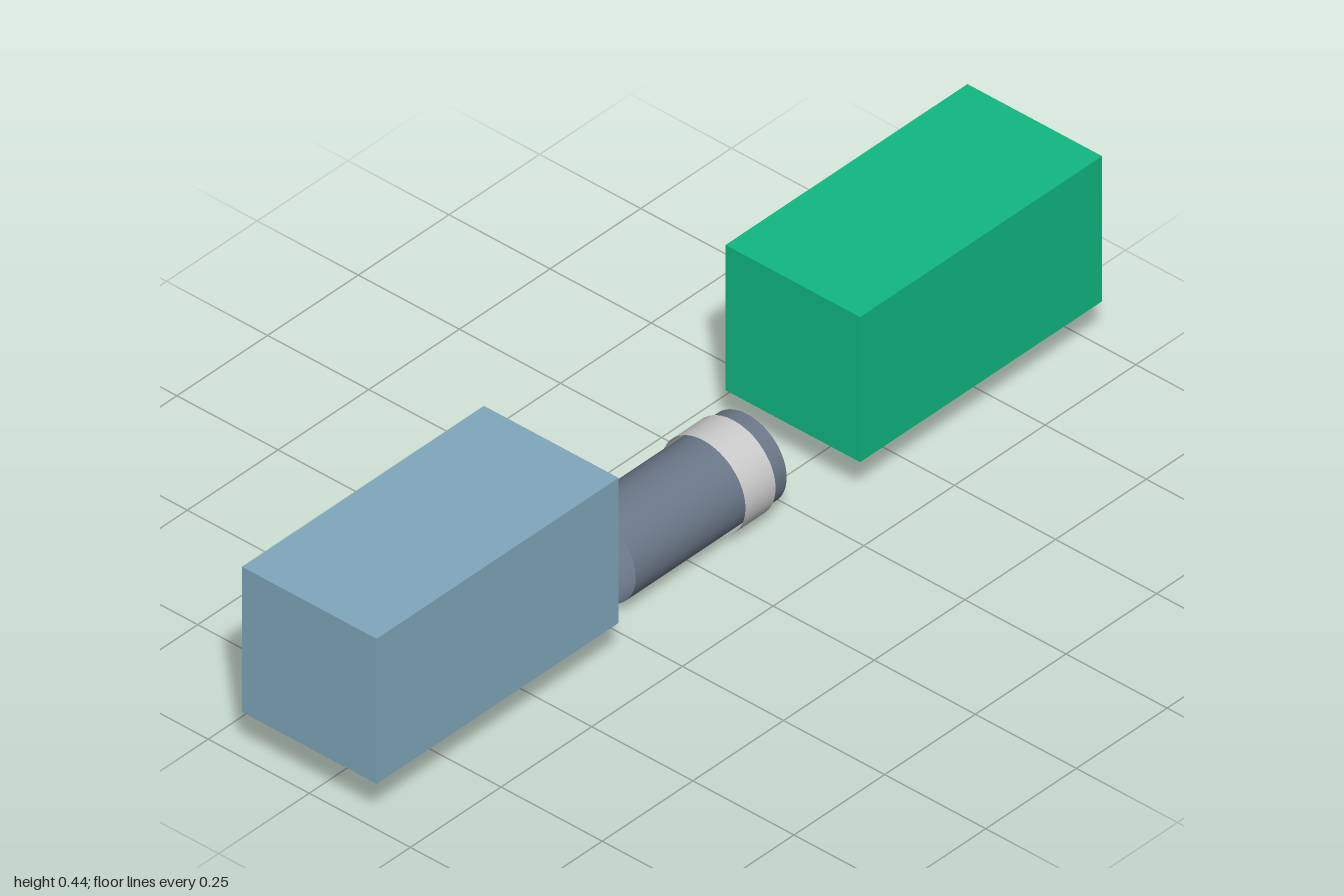
import * as THREE from 'three';

const CENTER_Y = 0.104; // axis height of the tube

function material(color, side = THREE.FrontSide) {
  return new THREE.MeshStandardMaterial({ color, side });
}

// Rectangular block resting level with the tube axis
function block(name, x, color) {
  const mesh = new THREE.Mesh(new THREE.BoxGeometry(0.667, 0.333, 0.333), material(color));
  mesh.name = name;
  mesh.position.set(x, CENTER_Y + 0.1665, 0);
  return mesh;
}

// Open-ended sleeve lying along x
function sleeve(name, radius, length, x, color) {
  const geometry = new THREE.CylinderGeometry(radius, radius, length, 64, 1, true);
  geometry.rotateZ(-Math.PI / 2);
  const mesh = new THREE.Mesh(geometry, material(color, THREE.DoubleSide));
  mesh.name = name;
  mesh.position.set(x, CENTER_Y, 0);
  return mesh;
}

export function createModel() {
  const model = new THREE.Group();
  model.name = 'tubeBetweenBlocks';
  model.add(
    block('rightBlock', -0.6665, 0x80a8bd),
    block('leftBlock', 0.6665, 0x10b981),
    sleeve('tube', 0.097, 0.416, 0, 0x6b7888),
    sleeve('band', 0.104, 0.083, 0.128, 0xcccccc),
  );
  return model;
}
